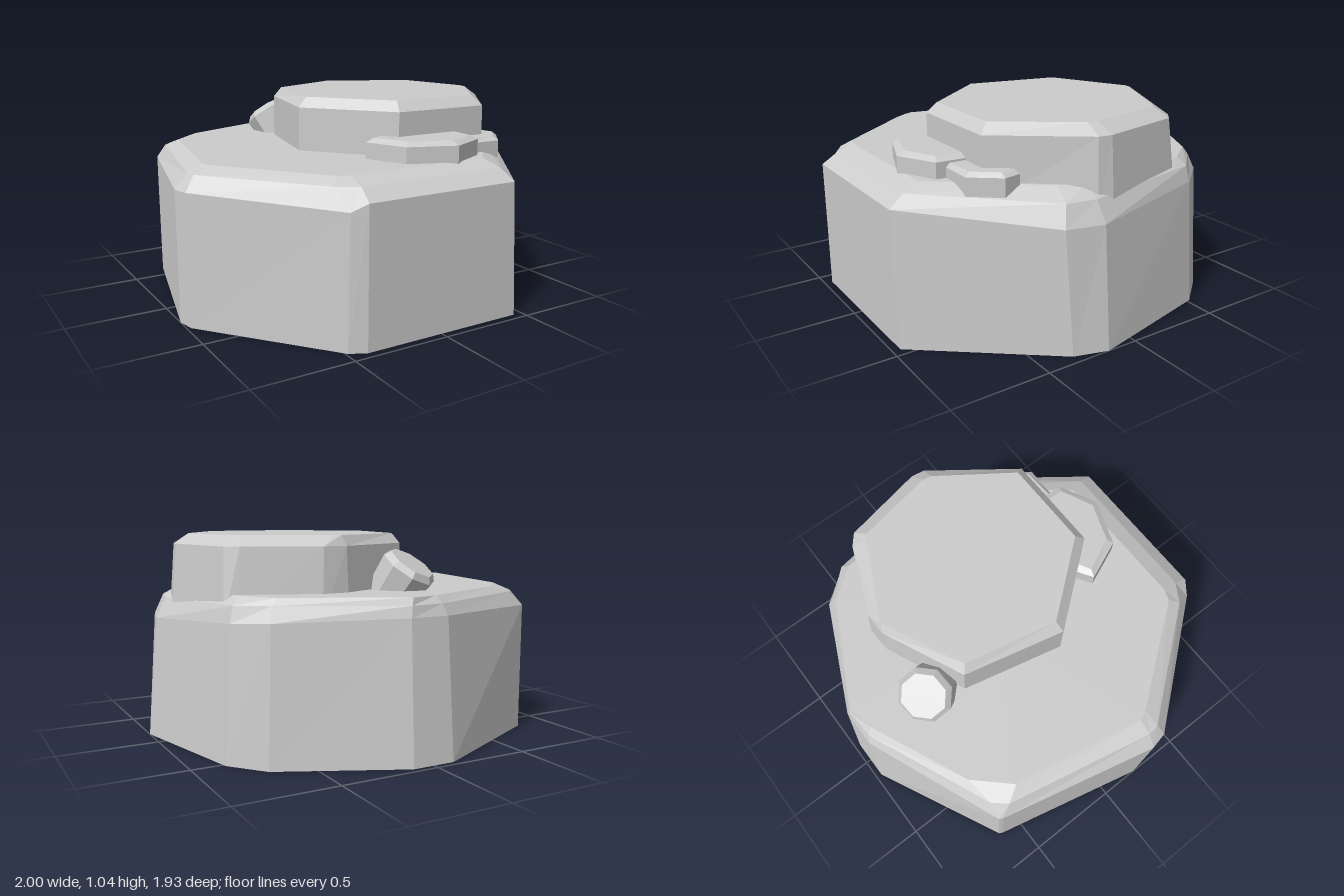
import * as THREE from 'three';

const stone = new THREE.MeshStandardMaterial({ color: 0xcccccc, flatShading: true, side: THREE.DoubleSide });

// Facets between rings of [x, y, z] corners, with a fan closing the top (and optionally the base)
function loft(name, rings, closedBase = false) {
  const pos = [];
  const tri = (...pts) => pts.forEach((p) => pos.push(...p));
  const n = rings[0].length;
  const centre = (ring) => [0, 1, 2].map((k) => ring.reduce((s, p) => s + p[k], 0) / n);
  for (let r = 0; r < rings.length - 1; r++) {
    for (let i = 0; i < n; i++) {
      const j = (i + 1) % n;
      const lo = rings[r], up = rings[r + 1];
      tri(lo[i], lo[j], up[j]);
      tri(lo[i], up[j], up[i]);
    }
  }
  const top = rings[rings.length - 1];
  const ct = centre(top), cb = centre(rings[0]);
  for (let i = 0; i < n; i++) {
    const j = (i + 1) % n;
    tri(ct, top[i], top[j]);
    if (closedBase) tri(cb, rings[0][j], rings[0][i]);
  }
  const geo = new THREE.BufferGeometry();
  geo.setAttribute('position', new THREE.Float32BufferAttribute(pos, 3));
  geo.computeVertexNormals();
  const mesh = new THREE.Mesh(geo, stone);
  mesh.name = name;
  return mesh;
}

// Ring of [x, z] corners at height y; a corner may carry its own height as a third value
const ring = (y, pts) => pts.map(([x, z, h]) => [x, h ?? y, z]);

// Small flat stone: straight sides with a chamfered top edge
function pebble(name, outline, y0, y1, y2, inset) {
  const n = outline.length;
  const cx = outline.reduce((s, p) => s + p[0], 0) / n;
  const cz = outline.reduce((s, p) => s + p[1], 0) / n;
  const inner = outline.map(([x, z]) => {
    const d = Math.hypot(x - cx, z - cz);
    const k = 1 - inset / d;
    return [cx + (x - cx) * k, cz + (z - cz) * k];
  });
  return loft(name, [ring(y0, outline), ring(y1, outline), ring(y2, inner)], true);
}

export function createModel() {
  const group = new THREE.Group();
  group.name = 'rockPile';

  // Large hollow base rock, open underneath
  group.add(loft('baseRock', [
    ring(0, [[-0.41, 0.96], [0.45, 0.96], [0.95, 0.33], [1, 0.16], [0.84, -0.52], [0.7, -0.69], [0.11, -0.97],
      [-0.11, -0.97], [-0.8, -0.63], [-0.81, -0.61], [-1, 0.21], [-0.98, 0.3], [-0.49, 0.92]]),
    ring(0.66, [[-0.41, 0.96, 0.68], [0.41, 0.96, 0.68], [0.9, 0.35, 0.61], [0.945, 0.16, 0.61], [0.8, -0.5, 0.65],
      [0.67, -0.66, 0.66], [0.1, -0.92, 0.68], [-0.1, -0.92, 0.68], [-0.8, -0.63], [-0.81, -0.61],
      [-1, 0.21], [-0.98, 0.3], [-0.48, 0.92, 0.64]]),
    ring(0.735, [[-0.4, 0.88], [0.39, 0.88], [0.86, 0.32, 0.715], [0.89, 0.17, 0.715], [0.78, -0.49, 0.73],
      [0.65, -0.63], [0.09, -0.91], [-0.08, -0.9], [-0.72, -0.62], [-0.78, -0.55],
      [-0.94, 0.22], [-0.93, 0.28], [-0.5, 0.82]]),
    ring(0.77, [[-0.4, 0.79], [0.36, 0.79], [0.76, 0.3], [0.81, 0.17], [0.74, -0.46],
      [0.62, -0.62], [0.08, -0.9], [-0.06, -0.87], [-0.57, -0.64], [-0.73, -0.47],
      [-0.86, 0.22], [-0.84, 0.27], [-0.46, 0.77]]),
  ]));

  // Upper rock, sunk into the base
  group.add(loft('upperRock', [
    ring(0.64, [[-0.31, 0.15], [0.02, 0.56], [0.55, 0.56], [0.875, 0.15], [0.89, 0.07], [0.79, -0.4],
      [0.73, -0.43], [0.37, -0.58], [0.22, -0.57], [-0.19, -0.38]]),
    ring(0.99, [[-0.31, 0.15], [0.02, 0.56], [0.54, 0.56], [0.85, 0.14], [0.86, 0.07], [0.77, -0.36],
      [0.71, -0.41], [0.35, -0.56], [0.23, -0.56], [-0.19, -0.37]]),
    ring(1.04, [[-0.26, 0.14], [0.04, 0.51], [0.51, 0.51], [0.77, 0.14], [0.78, 0.09], [0.7, -0.32],
      [0.67, -0.34], [0.29, -0.53], [0.25, -0.54], [-0.16, -0.34]]),
  ]));

  // Flat pebbles at the front
  group.add(pebble('frontPebble', [[-0.14, 0.51], [-0.05, 0.72], [0.19, 0.81], [0.39, 0.71],
    [0.4, 0.55], [0.3, 0.42], [0, 0.42]], 0.71, 0.85, 0.87, 0.04));
  group.add(pebble('sidePebble', [[0.36, 0.66], [0.57, 0.66], [0.68, 0.52], [0.66, 0.43],
    [0.5, 0.4], [0.34, 0.48]], 0.71, 0.82, 0.84, 0.03));

  // Tilted pebble leaning back against the upper rock
  const circle = (r) => Array.from({ length: 8 }, (_, i) => {
    const a = Math.PI / 2 - (i + 0.5) * Math.PI / 4;
    return [r * Math.cos(a), r * Math.sin(a)];
  });
  const leaning = loft('leaningPebble', [
    ring(-0.24, circle(0.13)), ring(-0.03, circle(0.145)), ring(0, circle(0.12)),
  ], true);
  leaning.quaternion.setFromUnitVectors(new THREE.Vector3(0, 1, 0), new THREE.Vector3(-0.3, 0.8, -0.45).normalize());
  leaning.position.set(-0.13, 0.9, -0.58);
  group.add(leaning);

  return group;
}
